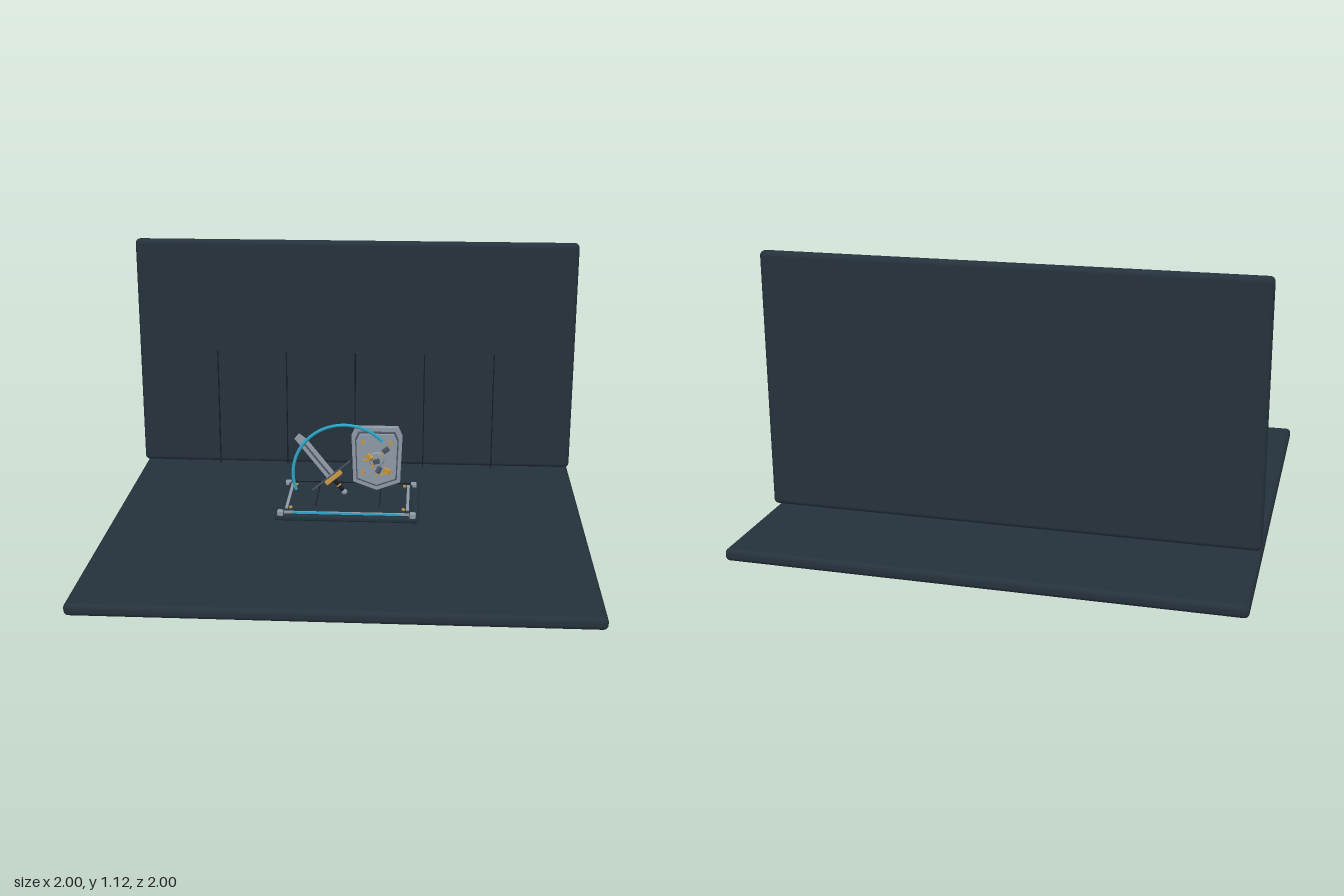
import * as THREE from 'three';
import { RoundedBoxGeometry } from 'three/addons/geometries/RoundedBoxGeometry.js';

const mat = (name, color) => Object.assign(new THREE.MeshStandardMaterial({ color }), { name });

export function createModel() {
  const slate = mat('slate', 0x25313b);
  const dark = mat('dark', 0x151b21);
  const steel = mat('steel', 0x8c98a4);
  const iron = mat('iron', 0x4a545f);
  const gold = mat('gold', 0xc4933f);
  const cyan = mat('cyan', 0x2aa5c6);
  const root = new THREE.Group();

  const add = (parent, name, geo, material, x = 0, y = 0, z = 0, rz = 0) => {
    const m = new THREE.Mesh(geo, material);
    m.name = name;
    m.position.set(x, y, z);
    m.rotation.z = rz;
    parent.add(m);
    return m;
  };
  const box = (w, h, d) => new THREE.BoxGeometry(w, h, d);
  const rbox = (w, h, d, r) => new RoundedBoxGeometry(w, h, d, 3, r);
  const group = (name) => {
    const g = new THREE.Group();
    g.name = name;
    root.add(g);
    return g;
  };
  const plate = (points, depth, bevel) => new THREE.ExtrudeGeometry(
    new THREE.Shape(points.map(([x, y]) => new THREE.Vector2(x, y))),
    { depth, bevelEnabled: bevel > 0, bevelSize: bevel, bevelThickness: bevel, bevelSegments: 1 });

  // Floor slab and back wall with thin panel seams
  add(root, 'floor', rbox(2, 0.05, 2, 0.02), slate, 0, 0.025, 0);
  add(root, 'backWall', rbox(2, 1.06, 0.05, 0.02), slate, 0, 0.595, -0.535);
  for (let i = -2; i <= 2; i++) {
    add(root, 'wallSeam', box(0.005, 0.55, 0.006), dark, i * 0.318, 0.335, -0.503);
  }

  // Display plinth: two tiers, rails, corner blocks, screws
  const plinth = group('plinth');
  add(plinth, 'plinthBase', rbox(0.61, 0.026, 0.425, 0.01), slate, 0, 0.073, -0.025);
  add(plinth, 'plinthTop', rbox(0.55, 0.016, 0.35, 0.006), slate, 0, 0.09, -0.005);
  add(plinth, 'frontRail', box(0.53, 0.01, 0.008), steel, 0, 0.094, 0.17);
  add(plinth, 'frontLight', box(0.46, 0.008, 0.008), cyan, 0, 0.095, 0.175);
  add(plinth, 'backRail', box(0.53, 0.01, 0.006), dark, 0, 0.096, -0.178);
  for (const s of [-1, 1]) {
    add(plinth, 'sideRail', box(0.012, 0.008, 0.29), steel, s * 0.257, 0.1, -0.005);
    add(plinth, 'topSeam', box(0.004, 0.003, 0.26), dark, s * 0.136, 0.099, -0.025);
    for (const z of [-0.18, 0.172]) {
      add(plinth, 'cornerBlock', rbox(0.026, 0.026, 0.026, 0.004), steel, s * 0.28, 0.09, z);
    }
    for (const z of [-0.14, 0.13]) {
      add(plinth, 'screw', new THREE.CylinderGeometry(0.008, 0.008, 0.008, 12), gold, s * 0.24, 0.1, z);
    }
  }

  // Light arc in front of the sword
  const arc = add(root, 'lightArc',
    new THREE.TorusGeometry(0.22, 0.007, 8, 56, THREE.MathUtils.degToRad(157)),
    cyan, -0.014, 0.233, 0.07, THREE.MathUtils.degToRad(43));
  arc.scale.z = 0.9;

  // Sword, built along +y and leaned over to its left
  const sword = group('sword');
  sword.position.set(-0.065, 0.205, 0.045);
  sword.rotation.set(-0.1, 0, 0.688, 'XYZ');
  const w = 0.018;
  add(sword, 'blade', plate([[-w, 0], [w, 0], [w, 0.2], [0.008, 0.24], [-w, 0.235]], 0.01, 0.002),
    steel, 0, 0, -0.005);
  add(sword, 'bladeGroove', box(0.008, 0.17, 0.016), iron, 0, 0.105, 0);
  add(sword, 'crossguard', rbox(0.085, 0.02, 0.026, 0.004), gold, 0.003, 0, 0);
  add(sword, 'guardBar', box(0.21, 0.006, 0.008), iron, 0.003, 0.014, 0.004);
  add(sword, 'grip', new THREE.CylinderGeometry(0.009, 0.009, 0.065, 12), dark, 0, -0.04, 0);
  add(sword, 'gripRing', new THREE.CylinderGeometry(0.011, 0.011, 0.006, 12), gold, 0, -0.04, 0);
  add(sword, 'pommel', new THREE.SphereGeometry(0.013, 12, 8), steel, 0, -0.078, 0);

  // Shield with a raised inner plate
  const shield = group('shield');
  shield.position.set(0.118, 0.255, -0.096);
  const half = [[0.09, 0.14], [0.108, 0.1], [0.1, -0.11], [0, -0.147]];
  const outline = (k) => [...half, ...half.slice(0, 3).reverse().map(([x, y]) => [-x, y])]
    .reverse().map(([x, y]) => [x * k, y * k]);
  add(shield, 'shieldBody', plate(outline(1), 0.018, 0.003), steel);
  add(shield, 'shieldRim', plate(outline(0.86), 0.006, 0.002), iron, 0, 0, 0.02);
  add(shield, 'shieldFace', plate(outline(0.81), 0.012, 0.002), steel, 0, 0, 0.021);
  add(shield, 'boss', new THREE.CylinderGeometry(0.03, 0.036, 0.012, 16), steel, 0, 0, 0.038)
    .rotation.x = Math.PI / 2;
  for (const sx of [-1, 1]) {
    for (const y of [0.078, -0.06]) {
      const stud = add(shield, 'stud', new THREE.CylinderGeometry(0.009, 0.009, 0.012, 10), gold, sx * 0.06, y, 0.038);
      stud.rotation.x = Math.PI / 2;
    }
  }

  // Loose fragments floating before the shield: x, y, turn
  const fragments = [[0.04, 0.05, 0.5], [-0.03, 0.02, -0.6], [0.01, -0.035, 0.9], [0.045, -0.045, -0.3], [0.0, 0.0, 0.2]];
  fragments.forEach(([x, y, turn], i) => {
    const z = 0.055 + (i % 3) * 0.009;
    add(shield, 'fragment', box(0.028, 0.018, 0.016), i % 2 ? gold : iron, x, y, z, turn).rotation.y = turn;
    add(shield, 'fragmentPin', box(0.034, 0.007, 0.008), gold, x - 0.012, y - 0.014, z, turn + 0.7);
  });

  return root;
}
